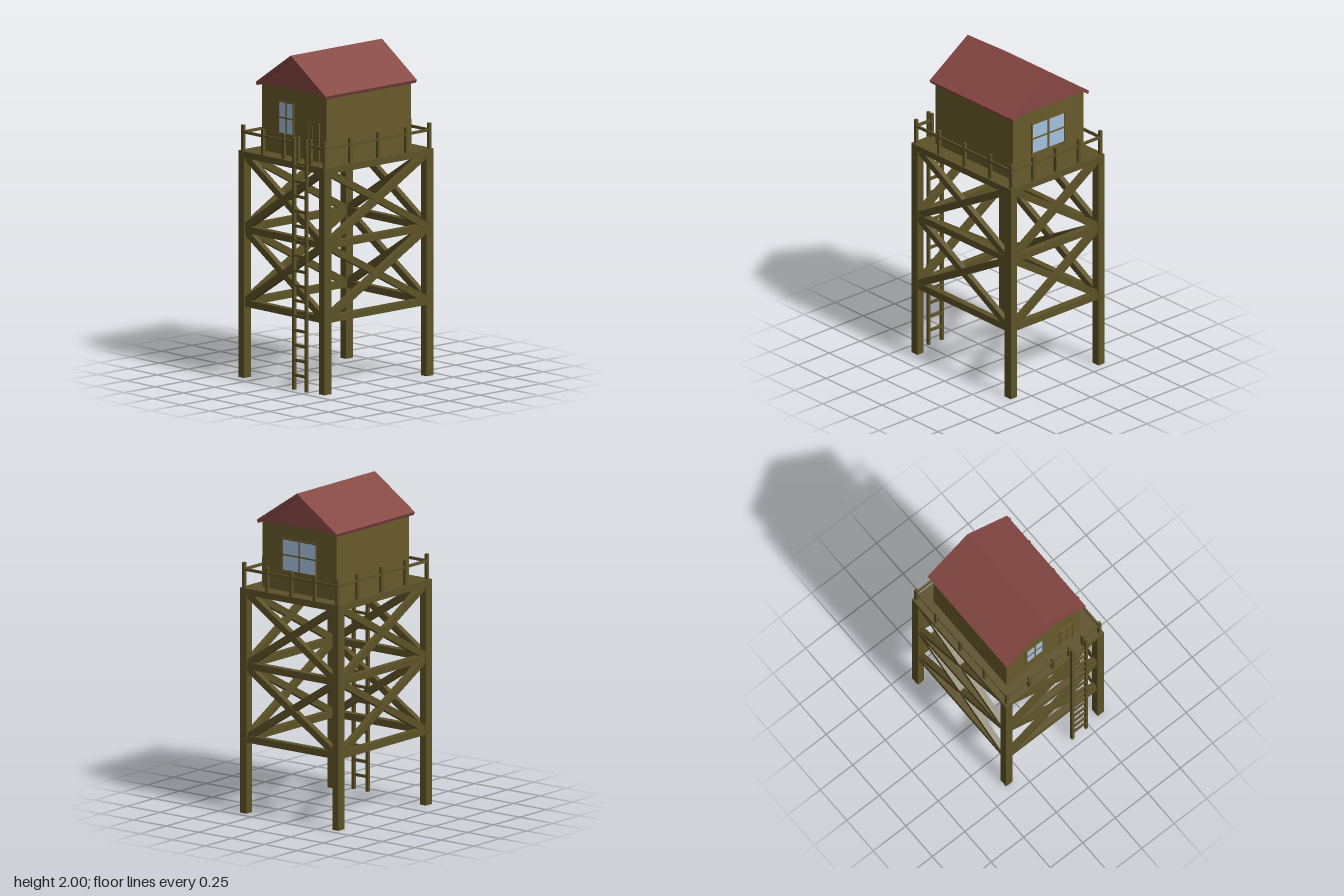
import * as THREE from 'three';

const material = (color) => new THREE.MeshStandardMaterial({ color, flatShading: true });

export function createModel() {
  const wood = material(0x5c5127);
  const wall = material(0x675a2a);
  const red = material(0x854743);
  const glass = material(0xa5c0de);

  const tower = new THREE.Group();
  tower.name = 'watchtower';

  const group = (name, parent = tower) => {
    const g = new THREE.Group();
    g.name = name;
    parent.add(g);
    return g;
  };
  const mesh = (parent, name, geometry, mat) => {
    const m = new THREE.Mesh(geometry, mat);
    m.name = name;
    parent.add(m);
    return m;
  };
  // Box given by its lower and upper limits on each axis
  const box = (parent, name, x0, x1, y0, y1, z0, z1, mat = wood) => {
    const m = mesh(parent, name, new THREE.BoxGeometry(x1 - x0, y1 - y0, z1 - z0), mat);
    m.position.set((x0 + x1) / 2, (y0 + y1) / 2, (z0 + z1) / 2);
    return m;
  };

  // Deck
  const X0 = -0.378, X1 = 0.375, Z0 = -0.453, Z1 = 0.434, DECK = 1.38;
  box(tower, 'deck', X0, X1, 1.34, DECK, Z0, Z1);

  // Legs
  const LW = 0.048, LD = 0.055;
  const legs = group('legs');
  for (const x of [X0, X1 - LW])
    for (const z of [Z0, Z1 - LD]) box(legs, 'leg', x, x + LW, 0, 1.34, z, z + LD);

  // One braced side in its own plane: two beams and two crosses between the legs
  const bracedSide = (name, span) => {
    const side = group(name);
    const half = span / 2;
    for (const y of [0.434, 0.884]) box(side, 'beam', -half, half, y, y + 0.042, -0.021, 0.021);
    for (const [y0, y1] of [[0.47, 0.89], [0.92, 1.345]]) {
      const length = Math.hypot(span, y1 - y0);
      [1, -1].forEach((dir, i) => {
        const brace = mesh(side, 'brace', new THREE.BoxGeometry(length, 0.042, 0.036 - i * 0.002), wood);
        brace.position.y = (y0 + y1) / 2;
        brace.rotation.z = dir * Math.atan2(y1 - y0, span);
      });
    }
    return side;
  };
  const midX = (X0 + X1) / 2, midZ = (Z0 + Z1) / 2;
  const spanX = X1 - X0 - 2 * LW, spanZ = Z1 - Z0 - 2 * LD;
  bracedSide('frontBracing', spanX).position.set(midX, 0, Z1 - LD / 2);
  bracedSide('backBracing', spanX).position.set(midX, 0, Z0 + LD / 2);
  for (const [name, x] of [['leftBracing', X1 - LW / 2], ['rightBracing', X0 + LW / 2]]) {
    const side = bracedSide(name, spanZ);
    side.position.set(x, 0, midZ);
    side.rotation.y = Math.PI / 2;
  }

  // Railing with a gap at the ladder
  const railing = group('railing');
  const RX0 = -0.357, RX1 = 0.355, RZ0 = -0.437, RZ1 = 0.414;
  const post = (x, z) => box(railing, 'railPost', x - 0.0095, x + 0.0095, DECK, 1.535, z - 0.0095, z + 0.0095);
  const rail = (x0, x1, z0, z1) =>
    box(railing, 'rail', x0 - 0.006, x1 + 0.006, 1.484, 1.5, z0 - 0.006, z1 + 0.006);
  for (const x of [RX0, -0.184, -0.002, 0.181, RX1]) post(x, RZ0);
  for (const x of [RX0, -0.184, -0.002, 0.123, 0.23, RX1]) post(x, RZ1);
  for (const x of [RX0, RX1]) {
    for (const z of [-0.249, -0.02, 0.208]) post(x, z);
    rail(x, x, RZ0, RZ1);
  }
  rail(RX0, RX1, RZ0, RZ0);
  rail(RX0, 0.123, RZ1, RZ1);
  rail(0.23, RX1, RZ1, RZ1);

  // Ladder
  const ladder = group('ladder');
  for (const x of [0.122, 0.228]) box(ladder, 'ladderStile', x - 0.009, x + 0.009, 0, 1.535, 0.435, 0.454);
  for (let i = 0; i < 15; i++) {
    const y = 0.09 + i * 0.0908;
    box(ladder, 'ladderRung', 0.122, 0.228, y - 0.008, y + 0.008, 0.438, 0.451);
  }

  // Cabin
  const cabin = group('cabin');
  const CX = -0.006, HW = 0.282, CZ0 = -0.362, CZ1 = 0.328, EAVE = 1.79;
  box(cabin, 'walls', CX - HW, CX + HW, DECK, EAVE, CZ0, CZ1, wall);

  // Gable and roof, extruded along z from their front outlines
  const extrude = (name, points, z0, z1) => {
    const shape = new THREE.Shape(points.map(([x, y]) => new THREE.Vector2(x, y)));
    const geometry = new THREE.ExtrudeGeometry(shape, { depth: z1 - z0, bevelEnabled: false });
    mesh(cabin, name, geometry, red).position.set(CX, 0, z0);
  };
  extrude('gable', [[-HW, EAVE], [HW, EAVE], [0, 1.982]], CZ0, CZ1);
  extrude('roof', [
    [0, 2], [-0.306, 1.795], [-0.297, 1.776], [0, 1.976], [0.297, 1.776], [0.306, 1.795],
  ], -0.388, 0.355);

  // Four-pane window on a wall facing +z
  const makeWindow = (name, width, height) => {
    const w = group(name, cabin);
    const a = width / 2, b = height / 2, t = 0.009;
    box(w, 'glass', -a, a, -b, b, -0.004, 0.002, glass);
    for (const x of [-a, 0, a]) box(w, 'windowBar', x - t / 2, x + t / 2, -b - t / 2, b + t / 2, -0.004, 0.006, wall);
    for (const y of [-b, 0, b]) box(w, 'windowBar', -a, a, y - t / 2, y + t / 2, -0.004, 0.0055, wall);
    return w;
  };
  makeWindow('frontWindow', 0.13, 0.195).position.set(-0.072, 1.605, CZ1);
  const back = makeWindow('backWindow', 0.262, 0.195);
  back.position.set(CX, 1.605, CZ0);
  back.rotation.y = Math.PI;

  // Door with raised frame and panels
  const door = group('door', cabin);
  box(door, 'doorLeaf', 0.114, 0.22, DECK, 1.615, CZ1 - 0.004, CZ1 + 0.003, wall);
  for (const x of [0.114, 0.212]) box(door, 'doorJamb', x, x + 0.008, DECK, 1.615, CZ1, CZ1 + 0.007, wall);
  box(door, 'doorHead', 0.122, 0.212, 1.607, 1.615, CZ1, CZ1 + 0.007, wall);
  for (const x of [0.13, 0.172])
    for (const [y0, y1] of [[1.4, 1.49], [1.51, 1.595]])
      box(door, 'doorPanel', x, x + 0.032, y0, y1, CZ1, CZ1 + 0.005, wall);

  return tower;
}
